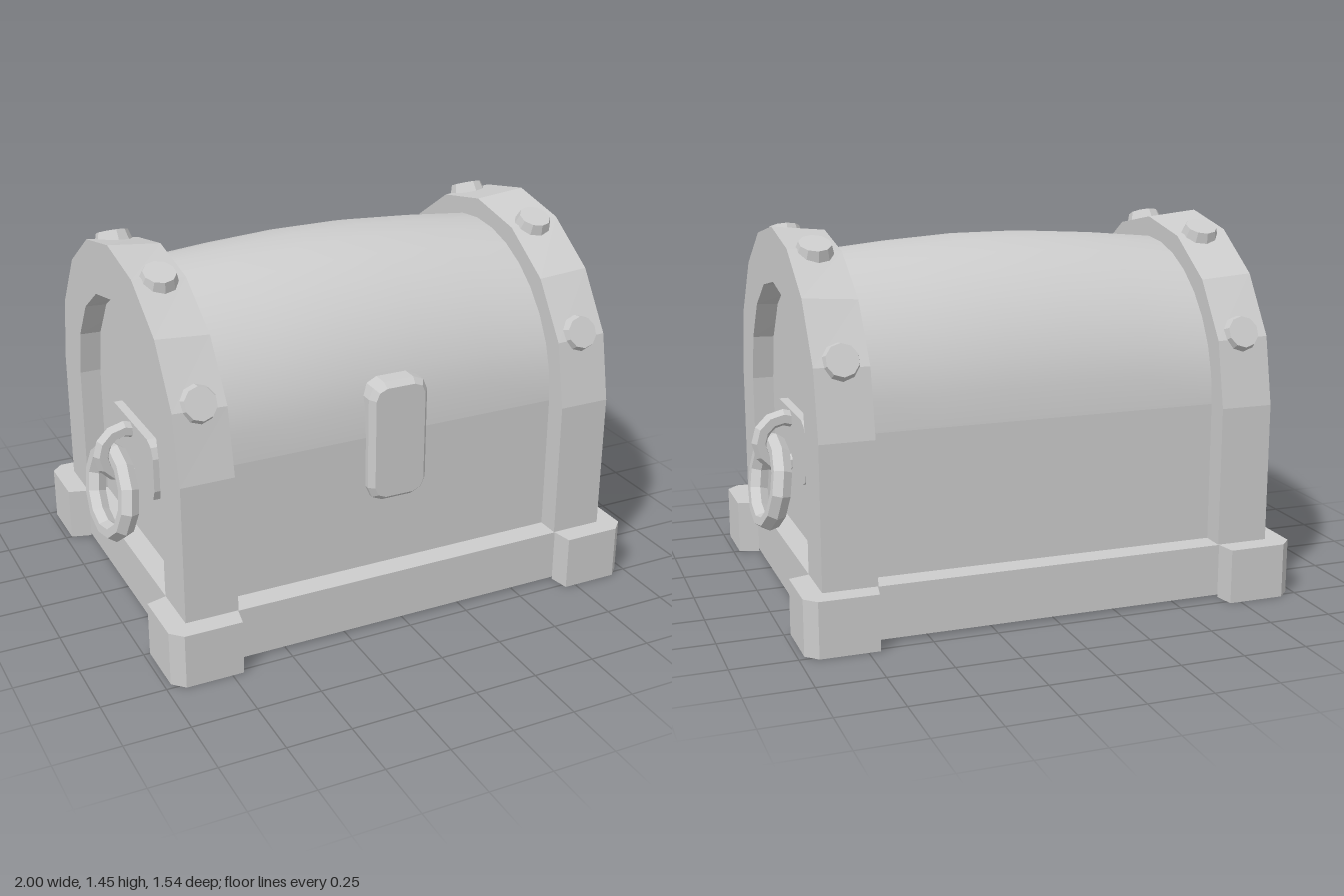
import * as THREE from 'three';

const SPRING = 0.76; // height where the arches start
const RIM = 0.215; // height of the base rim
const flat = new THREE.MeshStandardMaterial({ color: 0xcccccc, flatShading: true, side: THREE.DoubleSide });
const smooth = new THREE.MeshStandardMaterial({ color: 0xcccccc, side: THREE.DoubleSide });

function add(parent, name, geometry, material = flat) {
  const mesh = new THREE.Mesh(geometry, material);
  mesh.name = name;
  parent.add(mesh);
  return mesh;
}

// Straight sides topped by an eight-sided half circle
function archPoints(r, bottom) {
  const pts = [new THREE.Vector2(r, bottom)];
  for (let i = 0; i <= 8; i++) {
    const a = (i / 8) * Math.PI;
    pts.push(new THREE.Vector2(r * Math.cos(a), SPRING + r * Math.sin(a)));
  }
  pts.push(new THREE.Vector2(-r, bottom));
  return pts;
}

// Rectangle with cut corners
function cutRect(w, h, c) {
  const x = w / 2, y = h / 2;
  return new THREE.Shape([
    [x, y - c], [x - c * 0.3, y - c * 0.3], [x - c, y], [-x + c, y], [-x + c * 0.3, y - c * 0.3], [-x, y - c],
    [-x, -y + c], [-x + c * 0.3, -y + c * 0.3], [-x + c, -y], [x - c, -y], [x - c * 0.3, -y + c * 0.3], [x, -y + c],
  ].map(([a, b]) => new THREE.Vector2(a, b)));
}

// Grid of quads through rows of [x, y, z] points
function loft(rows) {
  const n = rows[0].length, index = [];
  for (let i = 0; i < rows.length - 1; i++) {
    for (let j = 0; j < n - 1; j++) {
      const a = i * n + j, b = a + n;
      index.push(a, a + 1, b, b, a + 1, b + 1);
    }
  }
  const g = new THREE.BufferGeometry();
  g.setAttribute('position', new THREE.Float32BufferAttribute(rows.flat(2), 3));
  g.setIndex(index);
  g.computeVertexNormals();
  return g;
}

// Vertical wall along a path of [x, z] points
const wall = (path, y0, y1) => loft([path.map(([x, z]) => [x, y0, z]), path.map(([x, z]) => [x, y1, z])]);

// Lid with a gentle bulge along its length, and the straight body walls
function makeBody(group) {
  const r = 0.595;
  const stations = [[-0.7, 0.585], [-0.42, 0.612], [-0.14, 0.63], [0.14, 0.63], [0.42, 0.612], [0.7, 0.585]];
  const rows = stations.map(([x, h]) => Array.from({ length: 17 }, (_, i) => {
    const a = (i / 16) * Math.PI;
    return [x, SPRING + h * Math.sin(a), r * Math.cos(a)];
  }));
  add(group, 'lid', loft(rows), smooth);
  for (const s of [-1, 1]) {
    add(group, 'bodyWall', wall([[-0.7 * s, r * s], [0.7 * s, r * s]], 0.2, SPRING));
  }
}

// Arched band, recessed panel, rivets and ring handle of one end
function makeEnd() {
  const end = new THREE.Group();
  const shape = new THREE.Shape(archPoints(0.687, 0.2));
  shape.holes.push(new THREE.Path(archPoints(0.475, 0.205)));
  const band = new THREE.ExtrudeGeometry(shape, { depth: 0.207, bevelEnabled: false });
  band.rotateY(Math.PI / 2).translate(0.688, 0, 0);
  const p = band.attributes.position;
  for (let i = 0; i < p.count; i++) { // the crown drops slightly toward the middle
    if (p.getX(i) < 0.8 && p.getY(i) > SPRING) p.setY(i, SPRING + (p.getY(i) - SPRING) * 0.97);
  }
  add(end, 'archBand', band);

  const panel = new THREE.ShapeGeometry(new THREE.Shape(archPoints(0.48, 0.2)));
  add(end, 'endPanel', panel.rotateY(Math.PI / 2).translate(0.81, 0, 0));

  for (const deg of [24, 67.5, 112.5, 156]) {
    const a = THREE.MathUtils.degToRad(deg);
    const rivet = add(end, 'rivet', new THREE.CylinderGeometry(0.062, 0.083, 0.07, 10));
    rivet.position.set(0.79, SPRING + 0.67 * Math.sin(a), 0.67 * Math.cos(a));
    rivet.rotation.x = Math.PI / 2 - a;
  }

  const plate = new THREE.ExtrudeGeometry(cutRect(0.51, 0.255, 0.06), { depth: 0.035, bevelEnabled: false });
  add(end, 'handlePlate', plate.rotateY(Math.PI / 2).translate(0.81, 0.603, 0));

  const staple = new THREE.TorusGeometry(0.095, 0.033, 6, 12);
  add(end, 'handleStaple', staple.translate(0.873, 0.605, 0));

  const ring = new THREE.TorusGeometry(0.203, 0.041, 6, 12);
  ring.scale(1, 0.79, 1).rotateY(Math.PI / 2).rotateZ(0.17).translate(0.935, 0.447, 0);
  add(end, 'handleRing', ring);
  return end;
}

// Open-bottomed rim: rails, corner blocks and the floor
function makeBase(group) {
  const base = new THREE.Group();
  base.name = 'base';
  group.add(base);
  const corner = [[0.69, 0.69], [0.705, 0.77], [0.93, 0.77], [0.975, 0.725], [0.975, 0.5], [0.895, 0.478]];
  const outline = [];
  for (const [sx, sz] of [[1, 1], [1, -1], [-1, -1], [-1, 1]]) {
    const pts = corner.map(([x, z]) => [x * sx, z * sz]);
    if (sx * sz < 0) pts.reverse();
    add(base, 'cornerBlock', wall(pts, 0, RIM));
    outline.push(...pts);
  }
  for (const s of [-1, 1]) {
    add(base, 'longRail', wall([[-0.69 * s, 0.69 * s], [0.69 * s, 0.69 * s]], 0.01, RIM));
    add(base, 'shortRail', wall([[0.895 * s, 0.478 * s], [0.895 * s, -0.478 * s]], 0.01, RIM));
  }
  const top = new THREE.ShapeGeometry(new THREE.Shape(outline.map(([x, z]) => new THREE.Vector2(x, -z))));
  add(base, 'rimTopAndFloor', top.rotateX(-Math.PI / 2).translate(0, RIM, 0));
}

export function createModel() {
  const group = new THREE.Group();
  group.name = 'chest';
  makeBody(group);
  makeBase(group);

  for (const s of [1, -1]) {
    const end = makeEnd();
    end.name = s > 0 ? 'leftEnd' : 'rightEnd';
    end.rotation.y = s > 0 ? 0 : Math.PI;
    group.add(end);
  }

  // Lock plate with a bevelled front
  const lock = new THREE.ExtrudeGeometry(cutRect(0.205, 0.445, 0.045), {
    depth: 0.075, bevelThickness: 0.025, bevelSize: 0.02, bevelSegments: 1,
  });
  add(group, 'lockPlate', lock.translate(0, 0.742, 0.54));
  return group;
}
